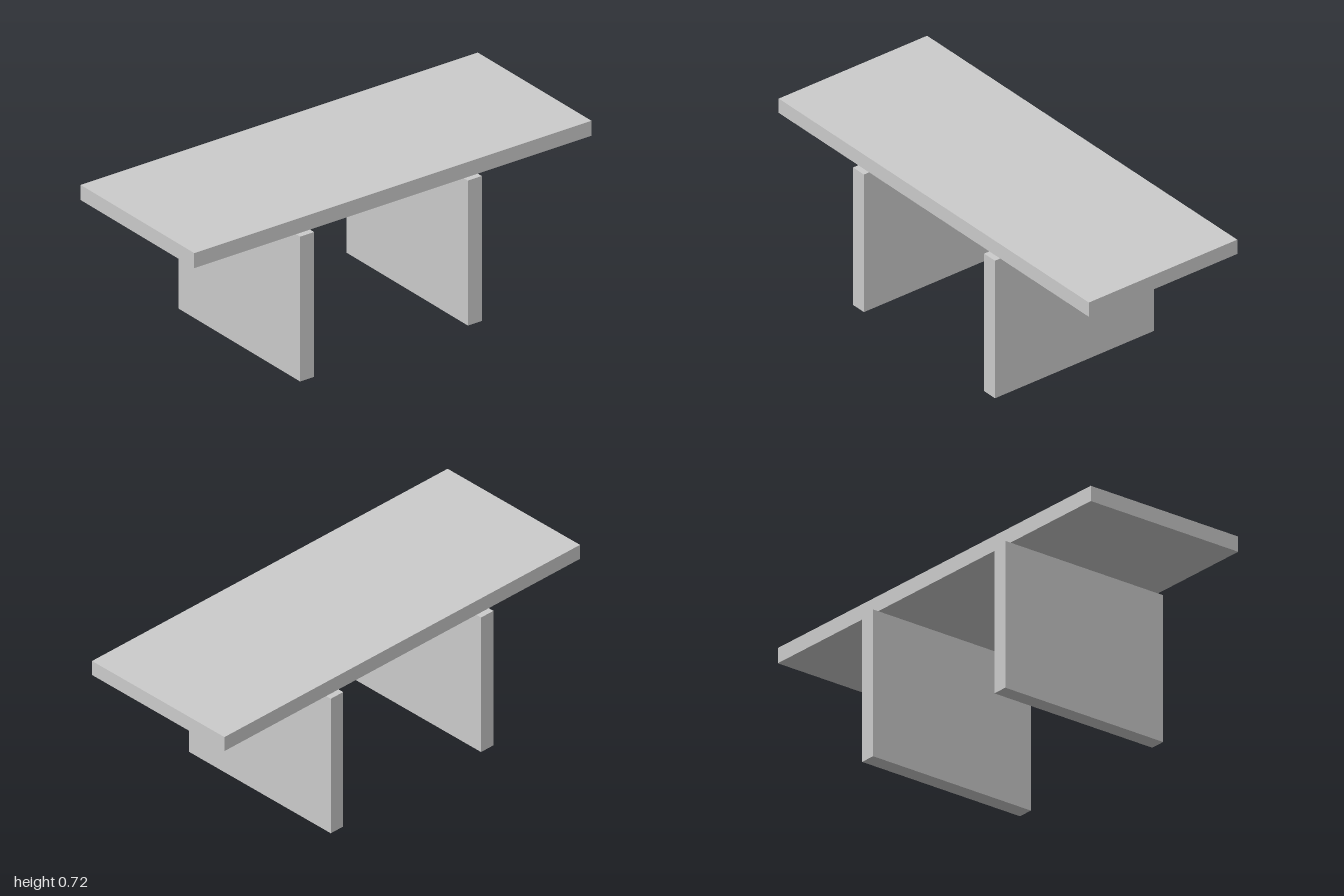
import * as THREE from 'three';

export function createModel() {
  const group = new THREE.Group();
  const material = new THREE.MeshStandardMaterial({ color: 0xcccccc, flatShading: true });

  const legHeight = 0.654;
  const topThickness = 0.068;

  // Box standing on the given base height
  function addBox(name, width, height, depth, x, baseY) {
    const mesh = new THREE.Mesh(new THREE.BoxGeometry(width, height, depth), material);
    mesh.name = name;
    mesh.position.set(x, baseY + height / 2, 0);
    group.add(mesh);
  }

  // Long flat top slab
  addBox('tableTop', 2, topThickness, 0.768, 0, legHeight);

  // Upright panel legs, slightly deeper than the top and set off-centre
  addBox('rightPanelLeg', 0.07, legHeight, 0.822, -0.452, 0);
  addBox('leftPanelLeg', 0.07, legHeight, 0.822, 0.393, 0);

  return group;
}
